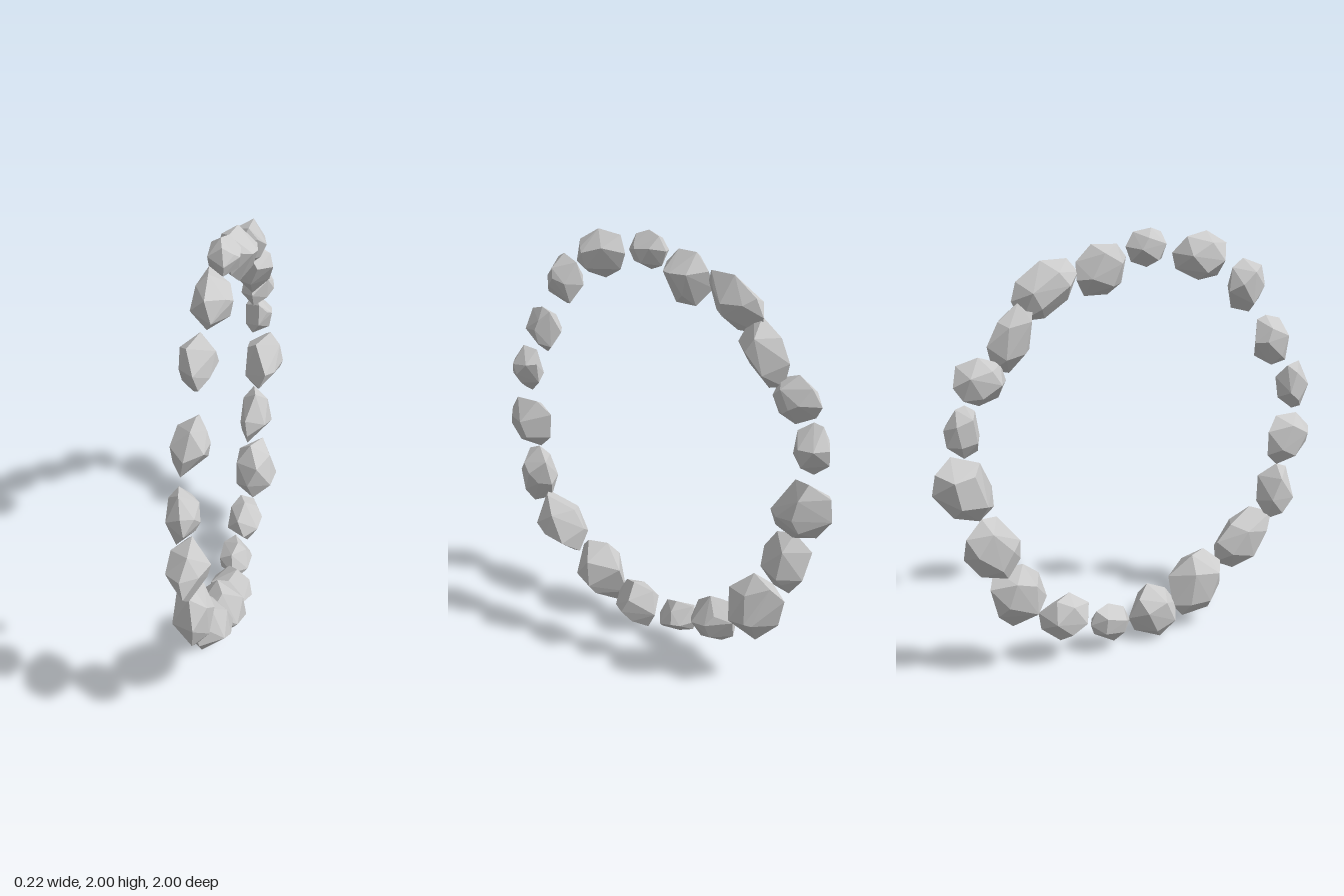
import * as THREE from 'three';
import { ConvexGeometry } from 'three/addons/geometries/ConvexGeometry.js';

// Each stone: z min, z max, y min, y max, x max, skew of the outline
const STONES = [
  [-0.07, 0.14, 1.83, 2.00, 0.03, 0],
  [0.17, 0.46, 1.75, 1.97, 0.06, -0.1],
  [0.47, 0.69, 1.58, 1.83, 0.045, 0],
  [0.63, 0.84, 1.305, 1.545, 0.04, -0.1],
  [0.785, 0.965, 1.07, 1.305, 0.03, -0.1],
  [0.73, 1.00, 0.78, 1.03, 0.06, 0],
  [0.70, 0.92, 0.475, 0.78, 0.06, 0],
  [0.465, 0.77, 0.26, 0.55, 0.10, 0.4],
  [0.19, 0.48, 0.075, 0.385, 0.11, 0.2],
  [-0.04, 0.22, 0.00, 0.265, 0.10, 0],
  [-0.27, -0.05, 0.05, 0.235, 0.05, -0.2],
  [-0.52, -0.265, 0.12, 0.345, 0.065, -0.1],
  [-0.77, -0.49, 0.235, 0.55, 0.10, -0.2],
  [-0.88, -0.625, 0.51, 0.81, 0.05, -0.2],
  [-1.00, -0.715, 0.795, 1.09, 0.09, -0.3],
  [-0.945, -0.78, 1.10, 1.33, 0.03, 0],
  [-0.895, -0.655, 1.31, 1.52, 0.045, 0],
  [-0.735, -0.505, 1.435, 1.73, 0.07, 0.4],
  [-0.61, -0.305, 1.65, 1.89, 0.06, 0.4],
  [-0.32, -0.07, 1.72, 1.945, 0.065, 0.1],
];
const X_MIN = -0.105;

// Small seeded generator
function seeded(seed) {
  let s = seed;
  return () => (s = (s * 16807) % 2147483647) / 2147483647;
}

// Faceted stone: wide girdle, narrower back and front rings, and a peak
function stoneGeometry([z0, z1, y0, y1, x1, skew], rand) {
  const pts = [];
  const jitter = (amount) => (rand() - 0.5) * 2 * amount;
  const ring = (count, radius, x, xJitter) => {
    const phase = rand() * Math.PI * 2;
    for (let i = 0; i < count; i++) {
      const a = phase + ((i + jitter(0.18)) / count) * Math.PI * 2;
      const r = radius * (1 + jitter(0.06));
      const u = Math.cos(a) * r;
      pts.push(new THREE.Vector3(x + jitter(xJitter), Math.sin(a) * r + skew * u, u));
    }
  };
  ring(4, 0.6, -0.92, 0.08);
  ring(8, 1, -0.1, 0.4);
  ring(3, 0.55, 0.75, 0.15);
  pts.push(new THREE.Vector3(1, jitter(0.25), jitter(0.25)));

  // Fit the points to the stone's extents
  const box = new THREE.Box3().setFromPoints(pts);
  const fit = (v, a, b, lo, hi) => lo + ((v - a) / (b - a)) * (hi - lo);
  for (const p of pts) {
    p.set(
      fit(p.x, box.min.x, box.max.x, X_MIN, x1),
      fit(p.y, box.min.y, box.max.y, y0, y1),
      fit(p.z, box.min.z, box.max.z, z0, z1)
    );
  }
  return new ConvexGeometry(pts);
}

export function createModel() {
  const model = new THREE.Group();
  model.name = 'stoneRing';
  const material = new THREE.MeshStandardMaterial({ color: 0xcccccc, flatShading: true });
  const rand = seeded(4711);
  STONES.forEach((stone, i) => {
    const mesh = new THREE.Mesh(stoneGeometry(stone, rand), material);
    mesh.name = `stone${i + 1}`;
    model.add(mesh);
  });
  return model;
}
